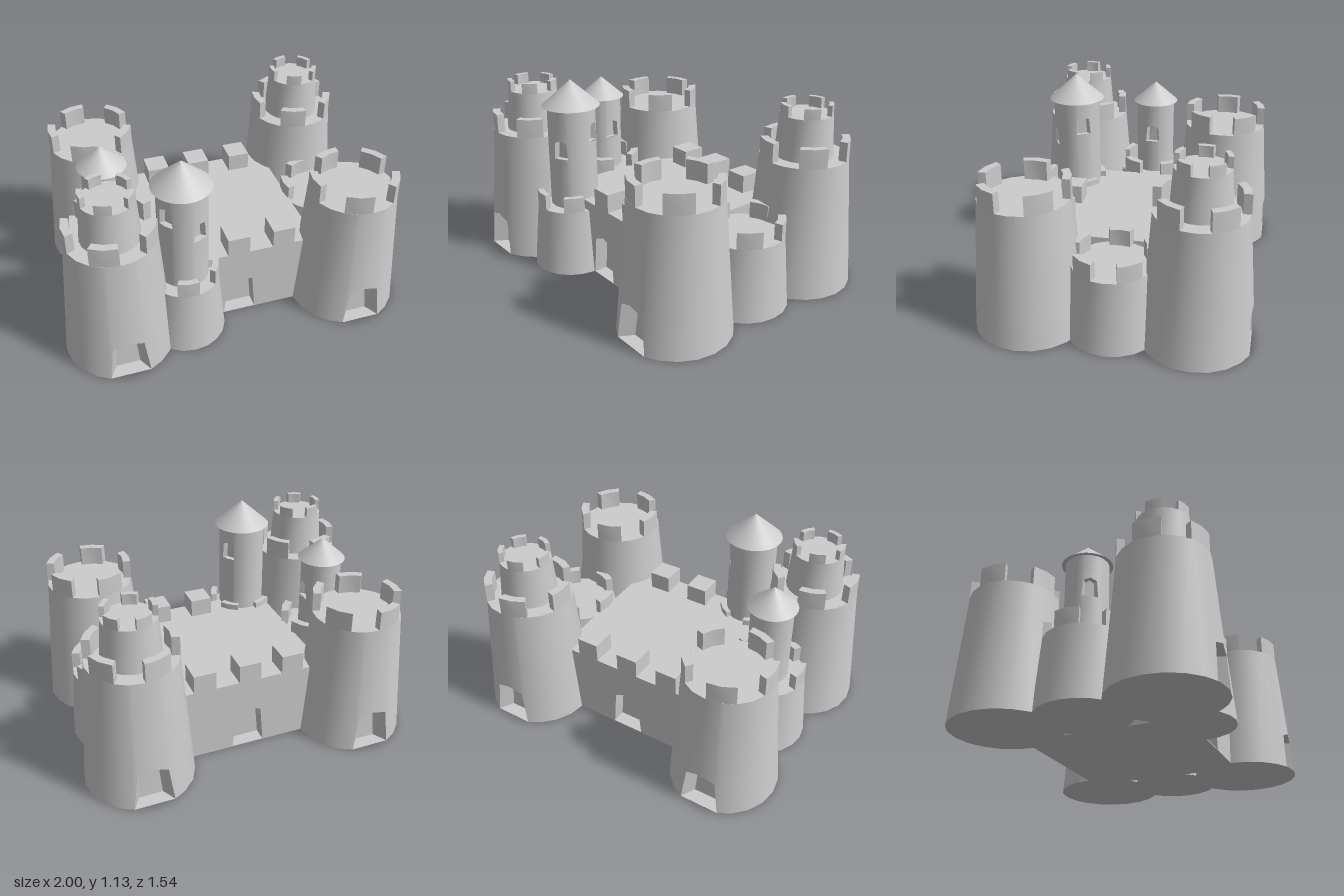
import * as THREE from 'three';
import { toCreasedNormals } from 'three/addons/utils/BufferGeometryUtils.js';

const grey = new THREE.MeshStandardMaterial({ color: 0xcccccc });
const rad = THREE.MathUtils.degToRad;
const SIDES = 20;

// Arch outline: [share of width, share of height], from left foot over the top to right foot
const ARCH = [[-0.5, 0], [-0.4, 0.87], [0, 1], [0.4, 0.87], [0.5, 0]];

function mesh(name, geometry, parent, x = 0, y = 0, z = 0, crease = 30) {
  const m = new THREE.Mesh(toCreasedNormals(geometry, rad(crease)), grey);
  m.name = name;
  m.position.set(x, y, z);
  parent.add(m);
  return m;
}

// Tapered round wall with deck and base; openings are arched recesses.
// Angles are in degrees from +z towards +x.
function roundWall(rBottom, rTop, height, openings = []) {
  const pos = [];
  const tri = (...points) => points.forEach((p) => pos.push(p.x, p.y, p.z));
  const quad = (a, b, c, d) => tri(a, b, c, a, c, d);
  const at = (deg, y, inset = 0) => {
    const r = rBottom + (rTop - rBottom) * (y / height) - inset;
    return new THREE.Vector3(r * Math.sin(rad(deg)), y, r * Math.cos(rad(deg)));
  };

  // Column edges: regular ones outside the openings, arch points inside
  const columns = [];
  const spans = openings.map((o) => {
    const spread = THREE.MathUtils.radToDeg(o.width / rBottom);
    return { ...o, spread, angle: (o.angle + 360) % 360 };
  });
  const offset = (deg, s) => ((deg - s.angle + 540) % 360) - 180;
  for (let i = 0; i < SIDES; i++) {
    const deg = (i * 360) / SIDES;
    if (!spans.some((s) => Math.abs(offset(deg, s)) < s.spread / 2 + 0.5)) columns.push({ deg });
  }
  for (const s of spans) {
    ARCH.forEach(([u, v], i) => {
      columns.push({ deg: (s.angle + u * s.spread + 360) % 360, span: s, i, low: s.y, high: s.y + v * s.height });
    });
  }
  columns.sort((a, b) => a.deg - b.deg);

  const top = new THREE.Vector3(0, height, 0), bottom = new THREE.Vector3();
  columns.forEach((a, k) => {
    const b = columns[(k + 1) % columns.length];
    const strip = (a0, b0, a1, b1) => quad(at(a.deg, a0), at(b.deg, b0), at(b.deg, b1), at(a.deg, a1));
    if (a.span && a.span === b.span && b.i === a.i + 1) {
      if (a.low > 0) strip(0, 0, a.low, b.low);
      strip(a.high, b.high, height, height);
    } else strip(0, 0, height, height);
    tri(top, at(a.deg, height), at(b.deg, height));
    tri(bottom, at(b.deg, 0), at(a.deg, 0));
  });

  // Jambs, sill and back of each recess
  for (const s of spans) {
    const outer = ARCH.map(([u, v]) => at(s.angle + u * s.spread, s.y + v * s.height));
    const inner = ARCH.map(([u, v]) => at(s.angle + u * s.spread * 0.85, s.y + v * s.height, s.depth));
    ARCH.forEach((_, i) => {
      const j = (i + 1) % ARCH.length;
      quad(outer[i], inner[i], inner[j], outer[j]);
      if (i > 0 && j > 0) tri(inner[0], inner[j], inner[i]);
    });
  }
  const g = new THREE.BufferGeometry();
  g.setAttribute('position', new THREE.Float32BufferAttribute(pos, 3));
  return g;
}

// Five curved merlons around a deck
function crown(parent, radius, thickness, y, height, turn = -18) {
  for (let k = 0; k < 5; k++) {
    const mid = turn + k * 72 - 90;
    const shape = new THREE.Shape();
    shape.absarc(0, 0, radius, rad(mid - 18), rad(mid + 18), false);
    shape.absarc(0, 0, radius - thickness, rad(mid + 18), rad(mid - 18), true);
    const g = new THREE.ExtrudeGeometry(shape, { depth: height, bevelEnabled: false, curveSegments: 1 });
    g.rotateX(-Math.PI / 2);
    mesh('merlon', g, parent, 0, y, 0);
  }
}

function group(name, parent, x, z) {
  const g = new THREE.Group();
  g.name = name;
  g.position.set(x, 0, z);
  parent.add(g);
  return g;
}

// Round turret with a conical roof
function roofedTurret(parent, name, x, z, base, eaves, radius, roofRadius, roofHeight, windows) {
  const g = group(name, parent, x, z);
  const openings = windows.map(([angle, y]) => ({ angle, y: y - base, width: 0.09, height: 0.11, depth: 0.03 }));
  mesh('turretWall', roundWall(radius, radius, eaves - base, openings), g, 0, base);
  mesh('turretRoof', new THREE.ConeGeometry(roofRadius, roofHeight, 32), g, 0, eaves - 0.01 + roofHeight / 2);
}

export function createModel() {
  const castle = new THREE.Group();
  castle.name = 'castle';

  // Corner towers: x, z, facing angle of the door, whether a second stage stands on top
  const corners = [
    ['frontRightTower', -0.69, 0.46, 0, true],
    ['frontLeftTower', 0.69, 0.46, 0, false],
    ['backLeftTower', 0.69, -0.465, 180, true],
    ['backRightTower', -0.62, -0.465, 180, false],
  ];
  for (const [name, x, z, angle, tall] of corners) {
    const g = group(name, castle, x, z);
    const door = { angle, y: 0, width: 0.23, height: 0.24, depth: 0.09 };
    mesh('towerWall', roundWall(0.31, 0.25, 0.76, [door]), g);
    crown(g, 0.25, 0.045, 0.76, 0.11);
    if (tall) {
      mesh('upperStage', roundWall(0.165, 0.147, 0.24), g, 0, 0.76);
      crown(g, 0.147, 0.028, 1, 0.06);
    }
  }

  // Low side towers
  for (const [name, x] of [['rightSideTower', -0.63], ['leftSideTower', 0.7]]) {
    const g = group(name, castle, x, -0.01);
    mesh('sideTowerWall', roundWall(0.258, 0.225, 0.42), g);
    crown(g, 0.225, 0.045, 0.42, 0.095);
  }

  // Gate tower beside the front gate
  const gate = group('gateTower', castle, -0.3, 0.46);
  mesh('gateTowerWall', roundWall(0.23, 0.195, 0.385), gate);
  crown(gate, 0.195, 0.035, 0.385, 0.09, -8);

  roofedTurret(castle, 'frontTurret', -0.295, 0.435, 0.38, 0.99, 0.14, 0.167, 0.15,
    [[28, 0.69], [-55, 0.79], [120, 0.78]]);
  roofedTurret(castle, 'sideTurret', -0.635, -0.005, 0.41, 0.89, 0.12, 0.141, 0.125,
    [[90, 0.63], [-55, 0.63]]);

  // Keep: core block with an arched slab on the front and back
  const x0 = -0.43, x1 = 0.49, mid = 0.035, height = 0.44, slab = 0.08;
  mesh('keepCore', new THREE.BoxGeometry(x1 - x0, height, 0.93 - 2 * slab), castle, 0.03, height / 2, -0.005);
  const wall = new THREE.Shape();
  wall.moveTo(x0, 0);
  for (const [u, v] of ARCH) wall.lineTo(mid + u * 0.19, v * 0.26);
  wall.lineTo(x1, 0);
  wall.lineTo(x1, height);
  wall.lineTo(x0, height);
  for (const [name, z] of [['frontWall', 0.46 - slab], ['backWall', -0.47]]) {
    mesh(name, new THREE.ExtrudeGeometry(wall, { depth: slab, bevelEnabled: false }), castle, 0, 0, z);
    mesh('doorSill', new THREE.BoxGeometry(0.19, 0.004, slab), castle, mid, 0.002, z + slab / 2);
  }

  // Square merlons on the keep
  const blocks = [[0.025, 0.39], [0.295, 0.39], [-0.235, -0.4], [0.025, -0.4], [0.295, -0.4]];
  for (const [x, z] of blocks) {
    mesh('keepMerlon', new THREE.BoxGeometry(0.13, 0.11, 0.14), castle, x, height + 0.053, z);
  }
  return castle;
}
